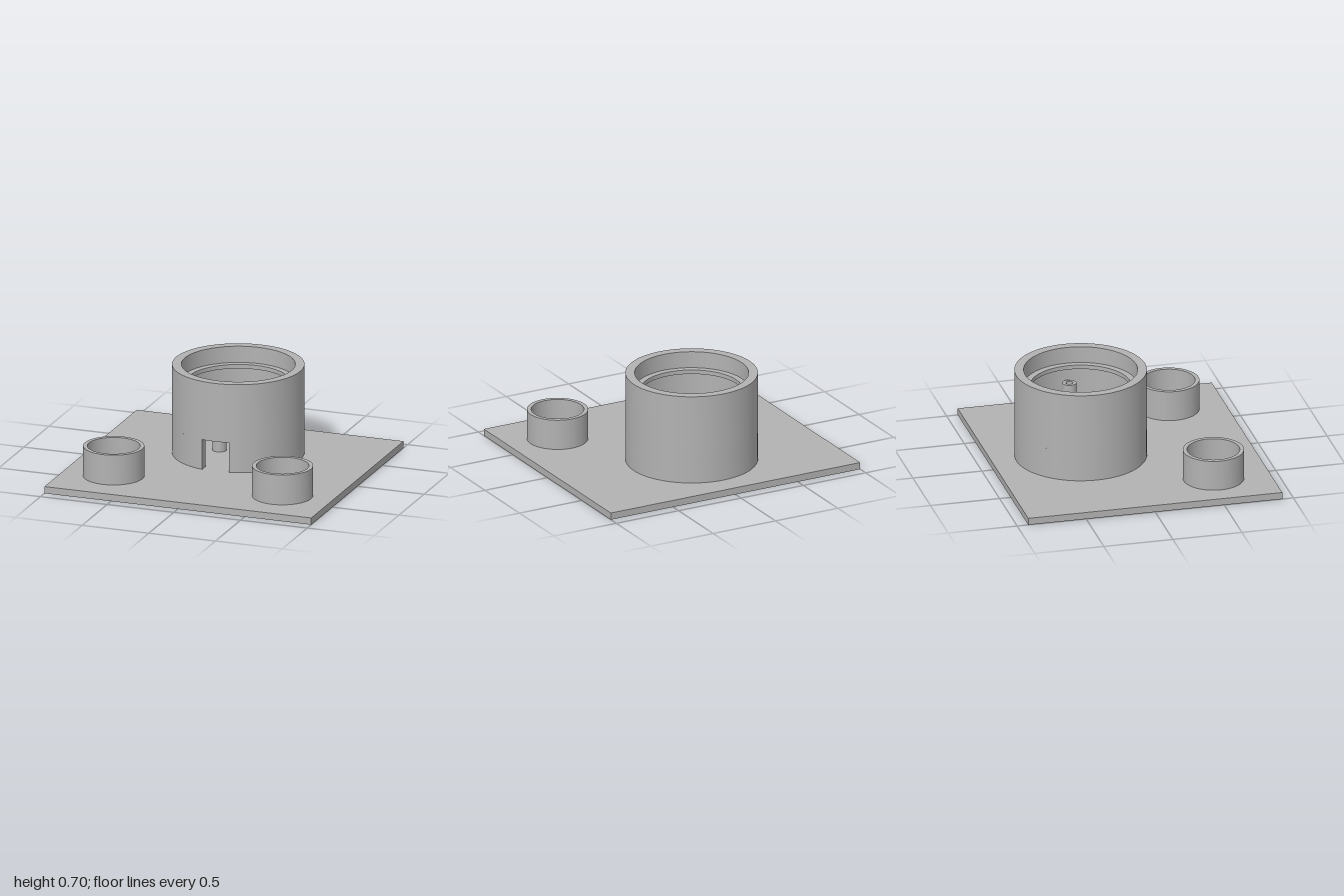
import * as THREE from 'three';
import { toCreasedNormals } from 'three/addons/utils/BufferGeometryUtils.js';

const PLATE_TOP = 0.05;

export function createModel() {
  const model = new THREE.Group();
  model.name = 'holderBase';
  const grey = new THREE.MeshStandardMaterial({ color: 0xb2b2b2 });
  grey.name = 'grey';

  function add(name, geometry, x, y, z, parent = model) {
    const mesh = new THREE.Mesh(geometry, grey);
    mesh.name = name;
    mesh.position.set(x, y, z);
    parent.add(mesh);
  }

  // Stands a flat outline up as a wall with smooth sides and sharp rims
  function wall(shape, height) {
    const g = new THREE.ExtrudeGeometry(shape, { depth: height, bevelEnabled: false, curveSegments: 72 });
    g.rotateX(-Math.PI / 2);
    return toCreasedNormals(g, 0.5);
  }

  function ring(outer, inner, height) {
    const shape = new THREE.Shape().absarc(0, 0, outer, 0, Math.PI * 2, false);
    shape.holes.push(new THREE.Path().absarc(0, 0, inner, 0, Math.PI * 2, true));
    return wall(shape, height);
  }

  // Ring with a parallel-sided gap at the front
  function gappedRing(outer, inner, halfGap, height) {
    const a = Math.asin(halfGap / outer);
    const b = Math.asin(halfGap / inner);
    const front = -Math.PI / 2;
    const end = front + Math.PI * 2;
    const shape = new THREE.Shape();
    shape.absarc(0, 0, outer, front + a, end - a, false);
    shape.absarc(0, 0, inner, end - b, front + b, true);
    shape.closePath();
    return wall(shape, height);
  }

  // Base plate
  add('basePlate', new THREE.BoxGeometry(2, PLATE_TOP, 1.84), 0, PLATE_TOP / 2, 0);

  // Large housing: notched lower wall, upper wall, and inner ledge
  const housing = new THREE.Group();
  housing.name = 'housing';
  housing.position.z = -0.285;
  model.add(housing);
  add('lowerWall', gappedRing(0.465, 0.4, 0.1, 0.22), 0, PLATE_TOP, 0, housing);
  add('upperWall', ring(0.465, 0.4, 0.43), 0, 0.27, 0, housing);
  add('innerLedge', ring(0.402, 0.355, 0.03), 0, 0.55, 0, housing);

  // Hollow screw posts inside the housing
  for (const x of [-0.14, 0.32]) {
    add('screwPost', ring(0.05, 0.025, 0.415), x, PLATE_TOP, 0, housing);
  }

  // Small open cups at the front corners
  for (const side of [-1, 1]) {
    add(side > 0 ? 'leftCup' : 'rightCup', ring(0.215, 0.185, 0.22), side * 0.633, PLATE_TOP, 0.515);
  }

  return model;
}
